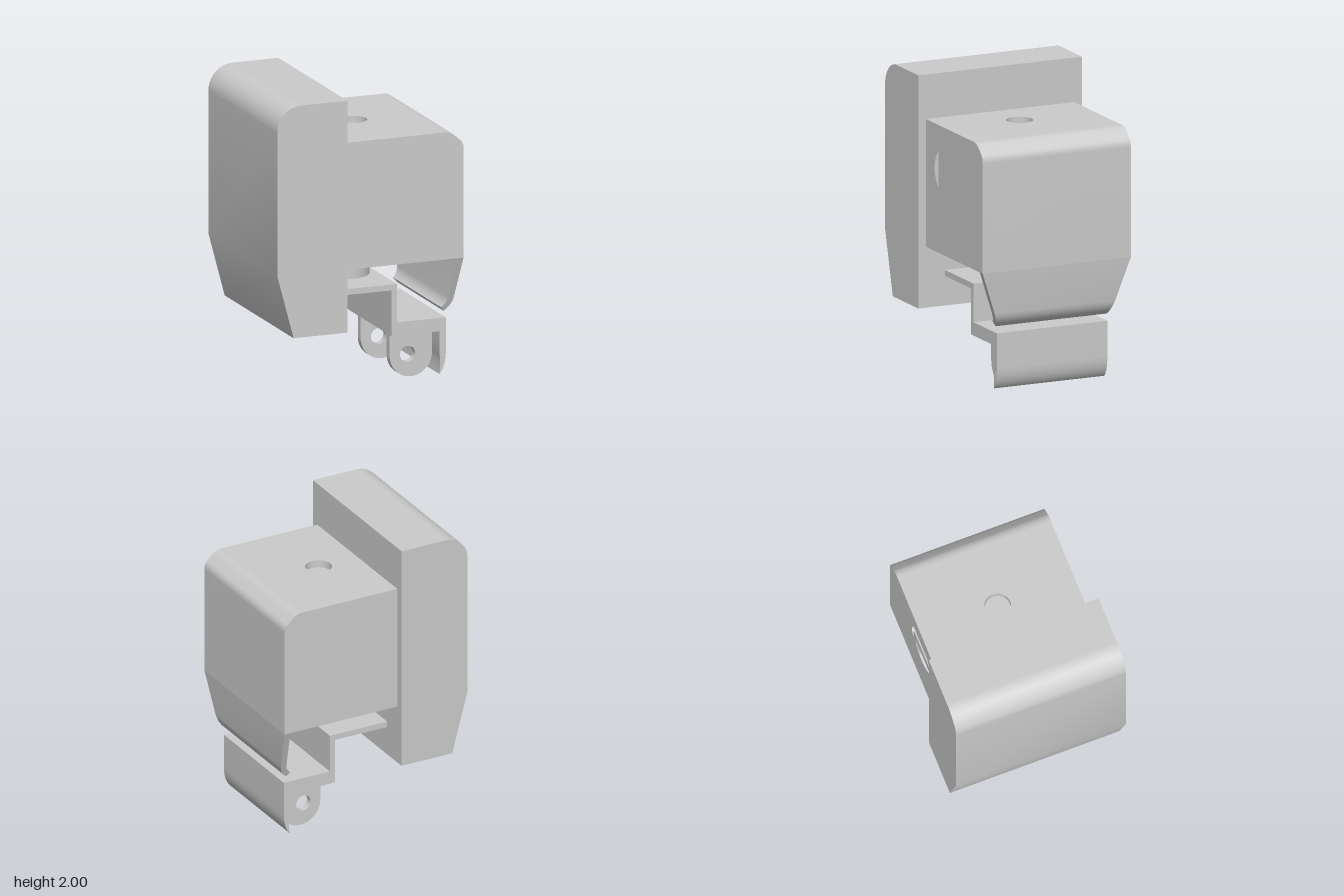
import * as THREE from 'three';
import { toCreasedNormals } from 'three/addons/utils/BufferGeometryUtils.js';

const material = new THREE.MeshStandardMaterial({ color: 0xcccccc });

// Outline from points; a four-number entry is a quadratic curve (control, end)
function outline(points) {
  const s = new THREE.Shape();
  points.forEach((p, i) => {
    if (i === 0) s.moveTo(...p);
    else if (p.length === 4) s.quadraticCurveTo(...p);
    else s.lineTo(...p);
  });
  s.closePath();
  return s;
}

function addHole(shape, x, y, r) {
  shape.holes.push(new THREE.Path().absarc(x, y, r, 0, Math.PI * 2, true));
  return shape;
}

// Extrude along z between z0 and z1
function slab(shape, z0, z1) {
  return new THREE.ExtrudeGeometry(shape, { depth: z1 - z0, bevelEnabled: false, curveSegments: 24 })
    .translate(0, 0, z0);
}

export function createModel() {
  const group = new THREE.Group();
  const add = (name, geometry) => {
    const mesh = new THREE.Mesh(toCreasedNormals(geometry, 0.5), material);
    mesh.name = name;
    group.add(mesh);
  };

  // Tall back block with a rounded top edge and tapered foot
  const block = new THREE.Shape();
  block.moveTo(-0.175, 0.43);
  block.lineTo(-0.175, 2);
  block.lineTo(-0.5, 2);
  block.absarc(-0.5, 1.83, 0.17, Math.PI / 2, Math.PI, false);
  block.lineTo(-0.67, 0.86);
  block.lineTo(-0.555, 0.43);
  block.closePath();
  add('backBlock', slab(block, -0.596, 0.596));

  // Housing: core with a slot in its top, closed by a plate with a round recess
  const right = [[0.54, 1.7], [0.575, 1.7, 0.6, 1.68], [0.65, 1.635], [0.67, 1.615, 0.67, 1.58], [0.67, 0.84]];
  const left = [[-0.175, 0.84], [-0.175, 1.7]];
  const slot = [[-0.06, 1.7], [-0.06, 1.65], [0.29, 1.65], [0.29, 1.7]];
  add('housingCore', slab(outline([...left, ...slot, ...right]), -0.45, 0.45));
  const top = outline([[-0.06, -0.45], [0.29, -0.45], [0.29, 0.45], [-0.06, 0.45]]);
  add('housingTopPlate', slab(addHole(top, 0.115, 0, 0.088), 1.65, 1.7).rotateX(-Math.PI / 2));

  // Front and back housing walls with round recesses
  const wall = addHole(outline([...left, ...right]), 0.115, 1.4, 0.161);
  add('housingFrontWall', slab(wall, 0.45, 0.54));
  add('housingBackWall', slab(wall, -0.54, -0.45));

  // Curled flap that narrows towards its lower edge
  const flap = slab(outline([
    [0.67, 0.84], [0.642, 0.55], [0.632, 0.495, 0.585, 0.455],
    [0.56, 0.485], [0.593, 0.51, 0.6, 0.55], [0.628, 0.84],
  ]), -1, 1);
  const pos = flap.attributes.position;
  for (let i = 0; i < pos.count; i++) {
    const t = (0.84 - pos.getY(i)) / (0.84 - 0.455);
    pos.setZ(i, pos.getZ(i) * THREE.MathUtils.lerp(0.54, 0.405, t));
  }
  add('flap', flap);

  // Short post between housing and bracket
  add('post', new THREE.CylinderGeometry(0.173, 0.173, 0.18, 48).translate(0.038, 0.755, 0));

  // Stepped bracket with a hanging lip
  add('bracket', slab(outline([
    [-0.175, 0.63], [0.215, 0.63], [0.215, 0.32], [0.555, 0.32], [0.555, 0.17],
    [0.567, 0.11, 0.555, 0.03], [0.598, 0.08, 0.6, 0.17],
    [0.6, 0.41], [0.255, 0.41], [0.255, 0.67], [-0.175, 0.67],
  ]), -0.403, 0.403));

  // Pair of rounded ears with pin holes
  const ear = new THREE.Shape();
  ear.moveTo(0.555, 0.33);
  ear.lineTo(0.255, 0.33);
  ear.lineTo(0.255, 0.15);
  ear.absarc(0.405, 0.15, 0.15, Math.PI, Math.PI * 2, false);
  ear.closePath();
  addHole(ear, 0.382, 0.153, 0.054);
  for (const [name, z] of [['frontEar', 0.25], ['backEar', -0.25]]) {
    add(name, slab(ear, z - 0.025, z + 0.025));
  }

  return group;
}
